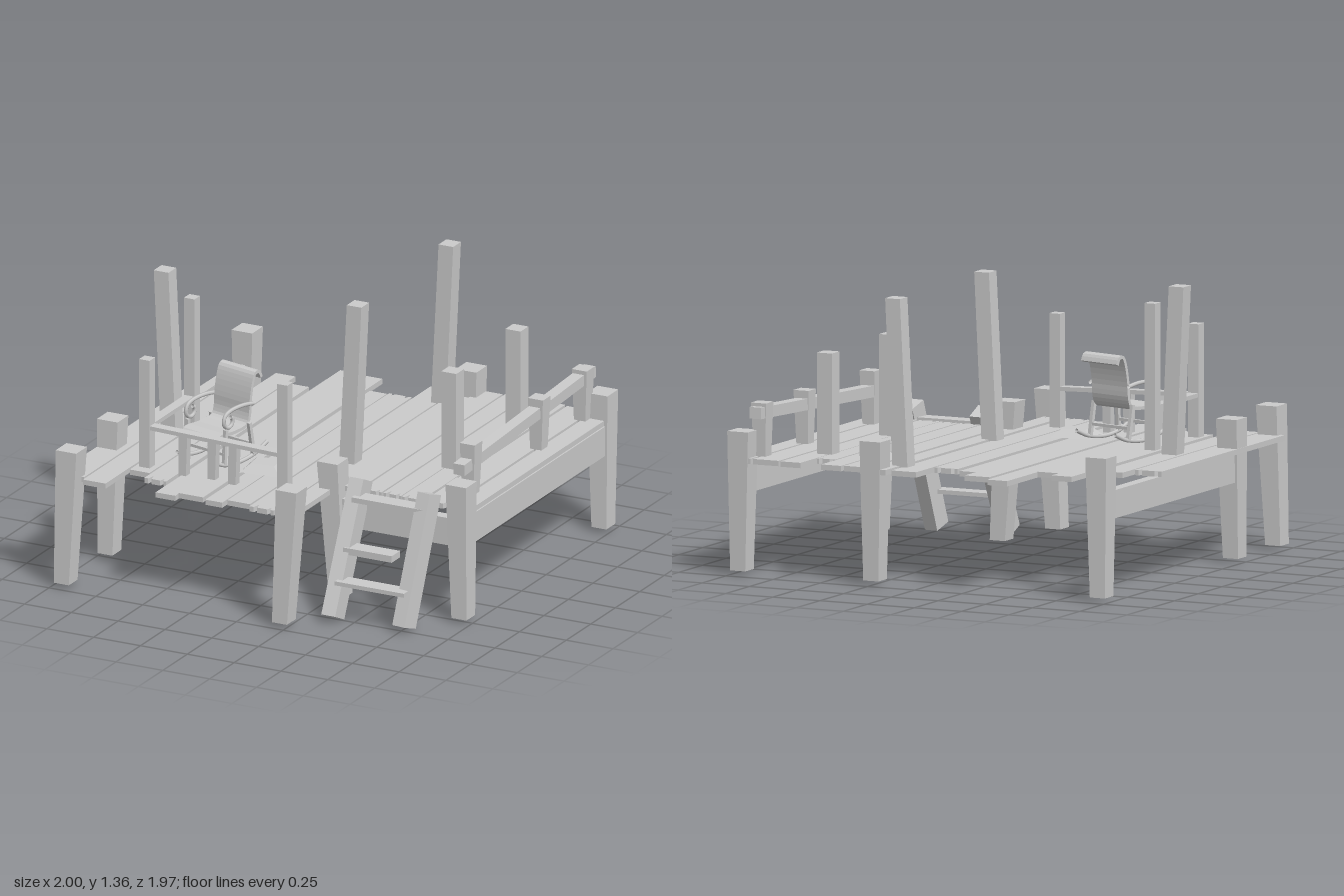
import * as THREE from 'three';

const mat = new THREE.MeshStandardMaterial({ color: 0xcccccc, side: THREE.DoubleSide });
const V = (x, y, z) => new THREE.Vector3(x, y, z);

function add(parent, name, geo) {
  const m = new THREE.Mesh(geo, mat);
  m.name = name;
  parent.add(m);
  return m;
}

// Leaning, tapering post: each end is [x, y, z, width, depth]
function post(parent, name, bottom, top) {
  const g = new THREE.BoxGeometry(1, 1, 1);
  const p = g.attributes.position;
  for (let i = 0; i < p.count; i++) {
    const [x, y, z, w, d] = p.getY(i) > 0 ? top : bottom;
    p.setXYZ(i, x + p.getX(i) * w, y, z + p.getZ(i) * d);
  }
  g.computeVertexNormals();
  return add(parent, name, g);
}

// Axis-aligned box from its limits
function box(parent, name, x0, x1, y0, y1, z0, z1) {
  const m = add(parent, name, new THREE.BoxGeometry(x1 - x0, y1 - y0, z1 - z0));
  m.position.set((x0 + x1) / 2, (y0 + y1) / 2, (z0 + z1) / 2);
  return m;
}

// Straight bar between two points
function bar(parent, name, a, b, w, h) {
  const m = add(parent, name, new THREE.BoxGeometry(w, h, a.distanceTo(b)));
  m.position.copy(a).add(b).multiplyScalar(0.5);
  m.lookAt(b);
  return m;
}

// Deck board with optional splits in its back (b) or front (f) end
function plank(parent, x0, x1, z0, z1, top, splits = '') {
  const w = x1 - x0, s = new THREE.Shape();
  const notch = (t, z, dz, dir) => {
    const x = x0 + w * t;
    s.lineTo(x - dir * 0.009, -z);
    s.lineTo(x, -(z + dz));
    s.lineTo(x + dir * 0.009, -z);
  };
  s.moveTo(x0, -z1);
  if (splits.includes('f')) { notch(0.25, z1, -0.04, 1); notch(0.8, z1, -0.03, 1); }
  s.lineTo(x1, -z1);
  s.lineTo(x1, -z0);
  if (splits.includes('b')) { notch(0.8, z0, 0.03, -1); notch(0.2, z0, 0.02, -1); }
  s.lineTo(x0, -z0);
  const g = new THREE.ExtrudeGeometry(s, { depth: 0.026, bevelEnabled: false });
  g.rotateX(-Math.PI / 2);
  add(parent, 'deckPlank', g).position.y = top - 0.026;
}

function rockingChair() {
  const chair = new THREE.Group();
  chair.name = 'rockingChair';

  // Seat and curled back as one bent sheet, profile given as (z, y)
  const curve = new THREE.SplineCurve([[-0.18, 0.39], [-0.165, 0.42], [-0.135, 0.42], [-0.115, 0.37],
    [-0.1, 0.29], [-0.095, 0.22], [-0.07, 0.175], [0.02, 0.165], [0.11, 0.17], [0.14, 0.15]]
    .map(([z, y]) => new THREE.Vector2(z, y)));
  const outer = [], inner = [];
  for (let i = 0; i <= 28; i++) {
    const p = curve.getPoint(i / 28), t = curve.getTangent(i / 28);
    outer.push(new THREE.Vector2(-(p.x - t.y * 0.008), p.y + t.x * 0.008));
    inner.unshift(new THREE.Vector2(-(p.x + t.y * 0.008), p.y - t.x * 0.008));
  }
  const sheet = new THREE.ExtrudeGeometry(new THREE.Shape([...outer, ...inner]), { depth: 0.22, bevelEnabled: false });
  sheet.translate(0, 0, -0.11);
  sheet.rotateY(Math.PI / 2);
  add(chair, 'seatAndBack', sheet);

  for (const s of [-1, 1]) {
    const x = s * 0.118;
    const tube = (name, pts, r) => add(chair, name,
      new THREE.TubeGeometry(new THREE.CatmullRomCurve3(pts.map(([z, y]) => V(x, y, z))), 32, r, 6));
    // Armrest ending in a scroll
    const arm = [[-0.11, 0.28], [-0.04, 0.29], [0.03, 0.29]];
    for (let i = 0; i <= 9; i++) {
      const a = Math.PI / 2 - i * 0.65, r = 0.046 - i * 0.003;
      arm.push([0.065 + Math.cos(a) * r, 0.238 + Math.sin(a) * r]);
    }
    tube('armrest', arm, 0.01);
    tube('rocker', [[-0.21, 0.06], [-0.12, 0.025], [0, 0.012], [0.1, 0.025], [0.17, 0.055]], 0.01);
    bar(chair, 'frontLeg', V(x, 0.025, 0.1), V(x, 0.2, 0.09), 0.018, 0.018);
    bar(chair, 'backLeg', V(x, 0.025, -0.11), V(x, 0.19, -0.08), 0.018, 0.018);
  }
  for (const z of [-0.1, 0.1]) bar(chair, 'crossBar', V(-0.118, 0.08, z), V(0.118, 0.08, z), 0.014, 0.014);
  chair.position.set(-0.405, 0.555, 0.4);
  chair.rotation.y = -0.23;
  return chair;
}

export function createModel() {
  const model = new THREE.Group();
  model.name = 'woodenDeck';

  // Deck boards: x range, z range, top height, split ends
  const L = 0.555, R = 0.566;
  [
    [-1, -0.86, -0.39, 0.91, 0.552, 'b'], [-0.85, -0.73, -0.5, 0.94, 0.552],
    [-0.71, -0.605, -0.76, 0.73, 0.558], [-0.6, -0.485, -0.67, 0.79, L, 'f'],
    [-0.47, -0.365, -0.96, 0.925, 0.548], [-0.36, -0.23, -0.93, 0.9, L],
    [-0.215, -0.125, -0.775, 0.905, 0.548], [-0.11, 0.01, -0.77, 0.88, L, 'b'],
    [0.02, 0.15, -0.945, 0.905, L, 'f'], [0.165, 0.26, -0.98, 0.88, 0.56, 'f'],
    [0.265, 0.385, -0.98, 0.475, R, 'f'], [0.395, 0.5, -0.99, 0.475, R, 'f'],
    [0.51, 0.605, -0.825, 0.475, R, 'bf'], [0.61, 0.715, -0.99, 0.48, R, 'f'],
    [0.73, 0.865, -0.98, 0.475, R, 'f'], [0.88, 0.98, -0.98, 0.475, R, 'f'],
  ].forEach(p => plank(model, ...p));

  // Tapered support legs: top x, z, then bottom x, z
  [
    [-0.92, 0.925, -0.945, 0.935], [-0.945, 0.455, -0.95, 0.48], [-0.945, -0.918, -0.95, -0.92],
    [0.943, -0.935, 0.955, -0.92], [0.932, 0.487, 0.945, 0.49], [0.245, 0.487, 0.29, 0.49],
    [0.255, 0.925, 0.22, 0.935], [0.243, -0.935, 0.25, -0.92],
  ].forEach(([x, z, bx, bz]) =>
    post(model, 'supportLeg', [bx, 0.022, bz, 0.08, 0.09], [x, 0.692, z, 0.11, 0.11]));

  // Beams under the deck
  box(model, 'leftBeam', -0.985, -0.93, 0.39, 0.525, -0.9, 0.45);
  box(model, 'rightBeam', 0.925, 0.985, 0.39, 0.538, -0.9, 0.45);
  box(model, 'frontBeam', 0.27, 0.92, 0.375, 0.512, 0.455, 0.51);

  // Tall leaning posts
  for (const [bx, tx, z] of [[-0.79, -0.828, 0.145], [0.162, 0.202, 0.145], [0.162, 0.202, -0.792]])
    post(model, 'tallPost', [bx, 0.54, z, 0.08, 0.08], [tx, 1.358, z, 0.078, 0.08]);

  // Middle posts on the right part
  for (const z of [-0.655, 0])
    post(model, 'middlePost', [0.632, 0.55, z, 0.08, 0.08], [0.632, 1.05, z, 0.08, 0.08]);

  // Thin railing around the chair
  for (const [x, z, h] of [[-0.662, 0.187, 1.26], [-0.662, 0.645, 1.1], [0.073, 0.645, 1.1]])
    post(model, 'railingPost', [x, 0.54, z, 0.056, 0.056], [x, h, z, 0.056, 0.056]);
  bar(model, 'frontRail', V(-0.662, 0.76, 0.645), V(0.073, 0.74, 0.645), 0.05, 0.02);
  bar(model, 'sideRail', V(-0.662, 0.76, 0.187), V(-0.662, 0.76, 0.645), 0.05, 0.02);
  for (const x of [-0.46, -0.305, -0.195])
    post(model, 'baluster', [x - 0.005, 0.54, 0.645, 0.04, 0.04], [x, 0.75, 0.645, 0.045, 0.04]);

  // Heavy sloping railing on the right edge
  for (const z of [-0.862, -0.415, 0.28])
    post(model, 'sideRailingPost', [0.875, 0.555, z, 0.06, 0.062], [0.877, 0.822, z, 0.08, 0.078]);
  bar(model, 'slopingRail', V(0.872, 0.718, 0.395), V(0.872, 0.78, -0.945), 0.06, 0.055);

  // Ladder with a broken step
  const ladder = new THREE.Group();
  ladder.name = 'ladder';
  model.add(ladder);
  bar(ladder, 'ladderSide', V(0.4, 0.021, 0.78), V(0.405, 0.625, 0.5), 0.075, 0.1);
  bar(ladder, 'ladderSide', V(0.762, 0.021, 0.745), V(0.788, 0.63, 0.535), 0.07, 0.1);
  box(ladder, 'ladderStep', 0.41, 0.78, 0.182, 0.202, 0.695, 0.78);
  box(ladder, 'brokenStep', 0.41, 0.67, 0.312, 0.345, 0.61, 0.695);
  box(ladder, 'ladderStep', 0.41, 0.79, 0.545, 0.57, 0.525, 0.61);

  model.add(rockingChair());

  // Flat cushion lying on the deck
  post(model, 'cushion', [0, 0, 0, 0.2, 0.17], [0, 0.038, 0, 0.12, 0.1])
    .position.set(-0.145, 0.556, 0.42);
  model.getObjectByName('cushion').rotation.y = 0.12;

  return model;
}
